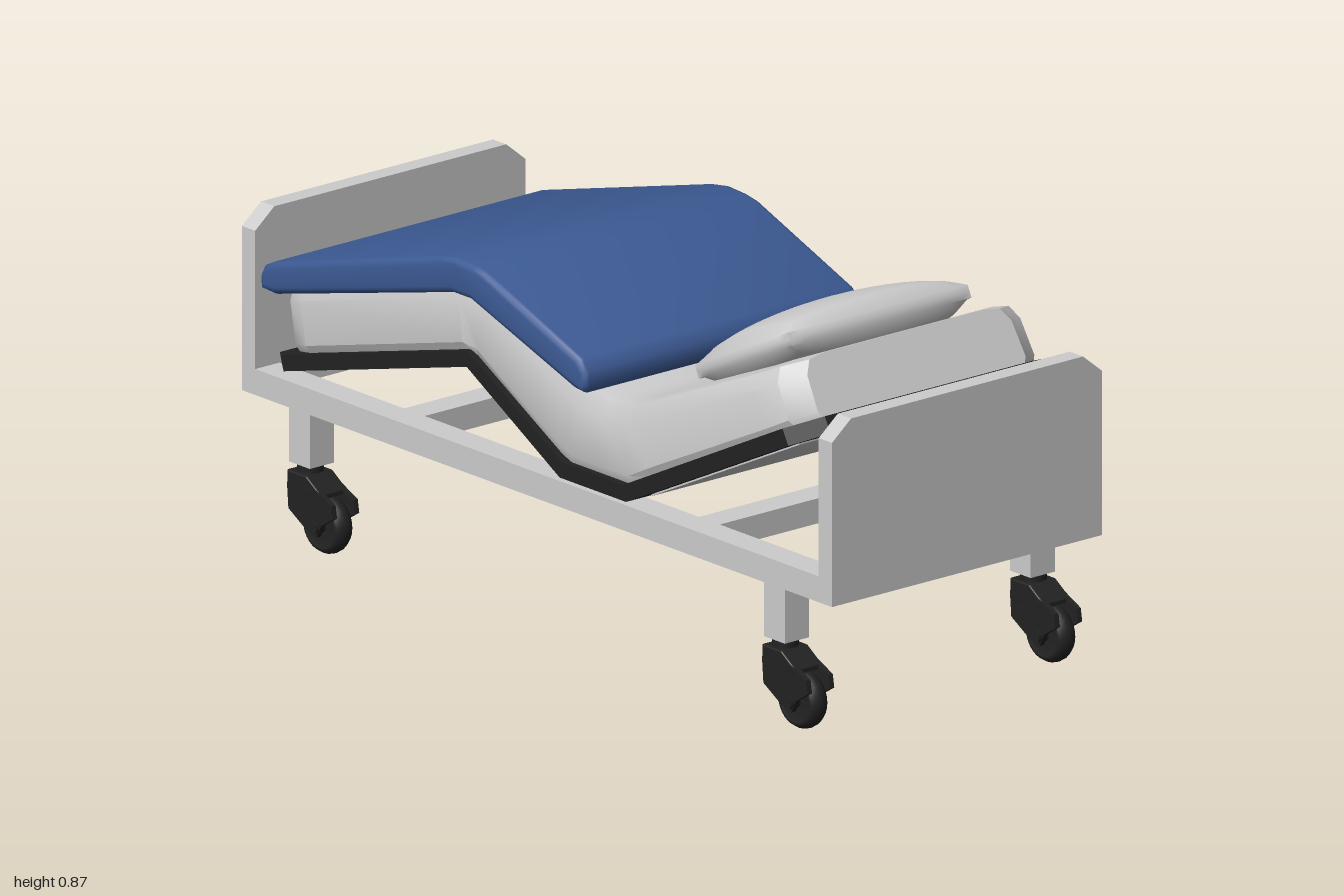
import * as THREE from 'three';
import { toCreasedNormals } from 'three/addons/utils/BufferGeometryUtils.js';

const material = (color) => new THREE.MeshStandardMaterial({ color });
const grey = material(0xcccccc);
const black = material(0x222222);
const blue = material(0x3c5a94);

function add(parent, name, geometry, mat, x = 0, y = 0, z = 0) {
  const mesh = new THREE.Mesh(geometry, mat);
  mesh.name = name;
  mesh.position.set(x, y, z);
  parent.add(mesh);
  return mesh;
}

const shapeOf = (points) => new THREE.Shape(points.map(([x, y]) => new THREE.Vector2(x, y)));

// Extrudes an outline, centred on its depth
function slab(points, depth, bevel = 0) {
  const geometry = new THREE.ExtrudeGeometry(shapeOf(points), {
    depth: depth - 2 * bevel, bevelEnabled: bevel > 0, bevelSize: bevel,
    bevelThickness: bevel, bevelOffset: -bevel, bevelSegments: 3, curveSegments: 8,
  });
  return geometry.translate(0, 0, -depth / 2 + bevel);
}

// Lofts a cross-section along stations [bottomX, bottomY, topX, topY, halfWidth].
// Each section point is [side, inset, height fraction].
function loft(stations, section) {
  const n = section.length, positions = [], index = [];
  for (const [bx, by, tx, ty, w] of stations) {
    for (const [side, inset, t] of section) {
      positions.push(bx + (tx - bx) * t, by + (ty - by) * t, side * (w - inset));
    }
  }
  const last = (stations.length - 1) * n;
  for (let i = 0; i < last; i += n) {
    for (let j = 0; j < n; j++) {
      const a = i + j, b = i + (j + 1) % n;
      index.push(a, a + n, b, b, a + n, b + n);
    }
  }
  for (let j = 1; j < n - 1; j++) {
    index.push(0, j, j + 1, last, last + j + 1, last + j);
  }
  const geometry = new THREE.BufferGeometry();
  geometry.setAttribute('position', new THREE.Float32BufferAttribute(positions, 3));
  geometry.setIndex(index);
  return toCreasedNormals(geometry, 0.5);
}

const flatSection = [[-1, 0, 0], [1, 0, 0], [1, 0, 1], [-1, 0, 1]];
const softSection = [
  [-1, 0.01, 0], [1, 0.01, 0], [1, 0, 0.12], [1, 0.005, 0.72], [1, 0.025, 0.95], [1, 0.07, 1],
  [-1, 0.07, 1], [-1, 0.025, 0.95], [-1, 0.005, 0.72], [-1, 0, 0.12],
];

function makeFrame() {
  const frame = new THREE.Group();
  frame.name = 'frame';
  const board = [[-0.39, 0.32], [0.39, 0.32], [0.39, 0.7], [0.335, 0.745], [-0.335, 0.745], [-0.39, 0.7]];
  for (const s of [-1, 1]) {
    add(frame, 'sideRail', new THREE.BoxGeometry(1.92, 0.06, 0.07), grey, 0, 0.35, s * 0.355);
    add(frame, 'crossRail', new THREE.BoxGeometry(0.07, 0.058, 0.66), grey, s * 0.5, 0.35, 0);
    add(frame, s > 0 ? 'headBoard' : 'footBoard', slab(board, 0.045), grey, s * 0.9775).rotation.y = Math.PI / 2;
    for (const z of [-0.355, 0.355]) {
      add(frame, 'leg', new THREE.BoxGeometry(0.07, 0.125, 0.07), grey, s * 0.805, 0.2575, z);
    }
  }
  return frame;
}

// Swivel caster, origin on the floor below its stem, wheel trailing to +x
function makeCaster() {
  const caster = new THREE.Group();
  caster.name = 'caster';
  add(caster, 'stem', new THREE.CylinderGeometry(0.03, 0.03, 0.03, 16), black, 0, 0.185, 0);
  add(caster, 'forkCrown', slab([[-0.035, 0.13], [-0.035, 0.178], [0.03, 0.178], [0.08, 0.145], [0.08, 0.135]], 0.078, 0.004), black);
  const plate = [[-0.035, 0.15], [-0.03, 0.09], [0.03, 0.055], [0.065, 0.045], [0.08, 0.075],
    [0.12, 0.1], [0.115, 0.13], [0.05, 0.16]];
  for (const s of [-1, 1]) {
    add(caster, 'forkPlate', slab(plate, 0.013), black, 0, 0, s * 0.032);
  }
  const profile = [[0.012, -0.018], [0.045, -0.018], [0.05, -0.024], [0.058, -0.022], [0.065, -0.011],
    [0.067, 0], [0.065, 0.011], [0.058, 0.022], [0.05, 0.024], [0.045, 0.018], [0.012, 0.018]];
  const tyre = new THREE.LatheGeometry(profile.map(([r, y]) => new THREE.Vector2(r, y)), 28);
  add(caster, 'wheel', tyre, black, 0.058, 0.067, 0).rotation.x = Math.PI / 2;
  const axle = new THREE.CylinderGeometry(0.015, 0.015, 0.09, 12);
  add(caster, 'axle', axle, black, 0.058, 0.067, 0).rotation.x = Math.PI / 2;
  return caster;
}

// Soft pillow: a box grid thinned toward its edges, with barrel-shaped sides
function pillowGeometry() {
  const geometry = new THREE.BoxGeometry(2, 2, 2, 14, 2, 14);
  const p = geometry.attributes.position;
  for (let i = 0; i < p.count; i++) {
    const u = p.getX(i), h = p.getY(i), v = p.getZ(i);
    const puff = Math.pow((1 - u * u) * (1 - v * v), 0.45);
    p.setXYZ(i, u * (0.175 + 0.015 * (1 - v * v)), h * (0.015 + 0.062 * puff),
      v * (0.26 + 0.022 * (1 - u * u)));
  }
  return toCreasedNormals(geometry, 1.1);
}

export function createModel() {
  const bed = new THREE.Group();
  bed.name = 'adjustableBed';
  bed.add(makeFrame());

  for (const x of [-0.805, 0.805]) {
    for (const z of [-0.358, 0.358]) {
      const caster = makeCaster();
      caster.position.set(x, 0, z);
      bed.add(caster);
    }
  }

  // Jointed support with lighter panels under its back and leg parts
  add(bed, 'mattressSupport', loft([
    [-0.92, 0.38, -0.93, 0.415, 0.34], [-0.87, 0.394, -0.88, 0.429, 0.38],
    [-0.25, 0.56, -0.25, 0.598, 0.38], [0.065, 0.383, 0.075, 0.42, 0.38],
    [0.29, 0.383, 0.28, 0.42, 0.38], [0.84, 0.651, 0.82, 0.686, 0.38],
    [0.89, 0.675, 0.87, 0.71, 0.3],
  ], flatSection), black);
  add(bed, 'legPanel', loft([
    [-0.86, 0.393, -0.86, 0.41, 0.34], [-0.28, 0.548, -0.28, 0.565, 0.34],
  ], flatSection), grey);
  add(bed, 'backPanel', loft([
    [0.33, 0.398, 0.33, 0.415, 0.34], [0.83, 0.642, 0.83, 0.66, 0.34],
  ], flatSection), grey);

  // Mattress bent over the support
  add(bed, 'mattress', loft([
    [-0.885, 0.425, -0.93, 0.575, 0.29], [-0.86, 0.432, -0.9, 0.59, 0.35],
    [-0.8, 0.448, -0.84, 0.608, 0.372], [-0.27, 0.59, -0.3, 0.755, 0.372],
    [-0.23, 0.585, -0.19, 0.755, 0.372], [0.05, 0.432, 0.08, 0.635, 0.372],
    [0.09, 0.418, 0.14, 0.607, 0.372], [0.18, 0.418, 0.2, 0.592, 0.372],
    [0.29, 0.418, 0.27, 0.605, 0.372], [0.36, 0.455, 0.33, 0.627, 0.372],
    [0.76, 0.65, 0.69, 0.78, 0.372], [0.82, 0.682, 0.75, 0.808, 0.355],
    [0.855, 0.7, 0.785, 0.822, 0.3],
  ], softSection), grey);

  // Blanket draped over the raised knees
  const blanket = slab([
    [-0.93, 0.575], [-0.88, 0.572], [-0.28, 0.727], [-0.22, 0.727], [0.13, 0.61], [0.165, 0.606],
    [0.175, 0.625], [0.172, 0.655], [0.15, 0.682], [-0.17, 0.8], [-0.21, 0.807], [-0.27, 0.81],
    [-0.32, 0.802], [-0.89, 0.645], [-0.92, 0.63], [-0.932, 0.605],
  ], 0.8, 0.015);
  add(bed, 'blanket', toCreasedNormals(blanket, 0.9), blue);

  add(bed, 'pillow', pillowGeometry(), grey, 0.535, 0.755, -0.01).rotation.z = 0.46;

  return bed;
}
